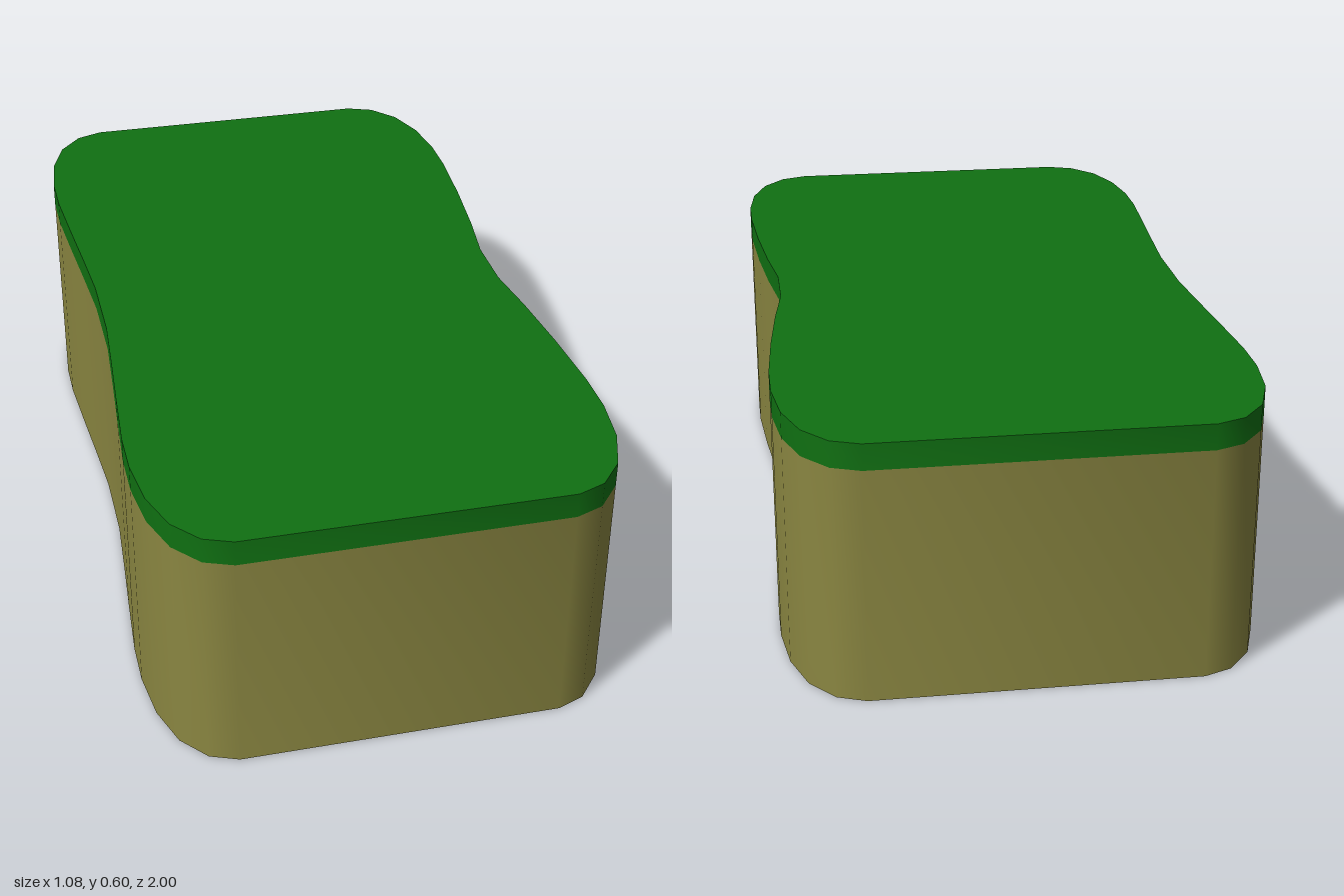
import * as THREE from 'three';
import { toCreasedNormals } from 'three/addons/utils/BufferGeometryUtils.js';

// Rounded corner shared by all four ends, as [x, z] from end to flank
const corner = [[0.37, 1], [0.435, 0.975], [0.49, 0.91], [0.525, 0.81], [0.54, 0.69], [0.54, 0.58]];
// Waist curves, which differ slightly between the two sides
const waistPlusX = [[0.528, 0.4], [0.51, 0.22], [0.49, 0.075]];
const waistMinusX = [[0.529, 0.42], [0.517, 0.26], [0.506, 0.1]];

// One side of the outline, running from +z to -z
function side(waist, sign) {
  const half = [...corner, ...waist];
  const far = half.map(([x, z]) => [x, -z]).reverse();
  return [...half, ...far].map(([x, z]) => new THREE.Vector2(sign * x, z));
}

function layer(name, outline, bottom, top, color) {
  const geometry = new THREE.ExtrudeGeometry(outline, { depth: top - bottom, bevelEnabled: false });
  geometry.rotateX(-Math.PI / 2);
  geometry.translate(0, bottom, 0);
  const mesh = new THREE.Mesh(
    toCreasedNormals(geometry, 0.7),
    new THREE.MeshStandardMaterial({ color })
  );
  mesh.name = name;
  return mesh;
}

export function createModel() {
  const group = new THREE.Group();
  group.name = 'sponge';
  const outline = new THREE.Shape([...side(waistPlusX, 1), ...side(waistMinusX, -1).reverse()]);
  // Thick foam body with a thin scouring pad on top
  group.add(layer('foamBody', outline, 0, 0.54, 0x8a8641));
  group.add(layer('scouringPad', outline, 0.54, 0.6, 0x107012));
  return group;
}
